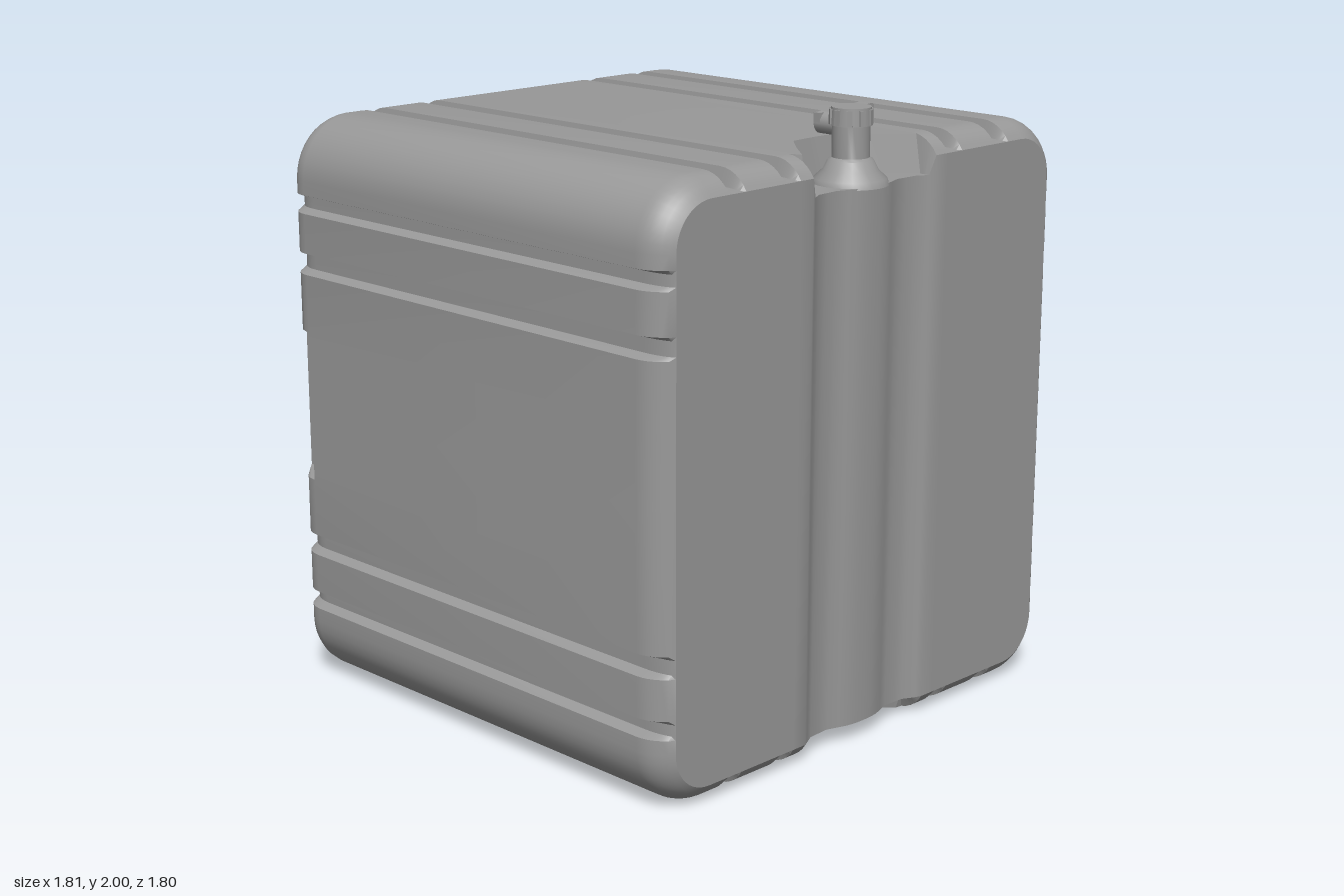
import * as THREE from 'three';
import { toCreasedNormals } from 'three/addons/utils/BufferGeometryUtils.js';

const material = new THREE.MeshStandardMaterial({ color: 0x999999 });
const MID = 0.945, W = 0.905, R = 0.2, BACK = -0.825, FRONT = 0.896;

function add(parent, name, geometry, x = 0, y = 0, z = 0) {
  const mesh = new THREE.Mesh(geometry, material);
  mesh.name = name;
  mesh.position.set(x, y, z);
  parent.add(mesh);
  return mesh;
}

// Piecewise linear lookup
function lerpTable(table, v) {
  for (let i = 1; i < table.length; i++) {
    const [a, fa] = table[i - 1], [b, fb] = table[i];
    if (v <= b) return fa + (fb - fa) * (v - a) / (b - a);
  }
  return table[table.length - 1][1];
}

// Skin over rows of points
function grid(rows, flip) {
  const pos = [], idx = [], n = rows[0].length;
  rows.forEach(row => row.forEach(p => pos.push(...p)));
  for (let r = 0; r < rows.length - 1; r++) {
    for (let c = 0; c < n - 1; c++) {
      const a = r * n + c, b = a + 1, d = a + n, e = d + 1;
      if (flip) idx.push(a, d, b, b, d, e);
      else idx.push(a, b, d, b, e, d);
    }
  }
  const g = new THREE.BufferGeometry();
  g.setAttribute('position', new THREE.Float32BufferAttribute(pos, 3));
  g.setIndex(idx);
  return toCreasedNormals(g, 0.55);
}

// Quarter of the tank outline, from mid side to mid top, relative to the centre
function quarterOutline() {
  const pts = [];
  const side = (y, g = 0) => pts.push({ kind: 'side', x: W, y, nx: 1, ny: 0, g });
  const top = (x, g = 0) => pts.push({ kind: 'top', x, y: MID, nx: 0, ny: 1, g });
  side(0); side(0.23); side(0.25);
  for (const [a, b] of [[0.44, 0.51], [0.64, 0.7]]) {
    side(a); side(a + 0.012, 0.037); side(b - 0.012, 0.037); side(b);
  }
  for (let i = 0; i <= 10; i++) {
    const t = i / 10 * Math.PI / 2, nx = Math.cos(t), ny = Math.sin(t);
    pts.push({ kind: 'corner', x: W - R + R * nx, y: MID - R + R * ny, nx, ny, g: 0 });
  }
  for (const [a, b] of [[0.635, 0.565], [0.405, 0.335]]) {
    top(a); top(a - 0.013, 0.054); top(b + 0.013, 0.054); top(b);
  }
  for (const x of [0.28, 0.26, 0.22, 0.18, 0.14, 0.1, 0.07, 0.035, 0]) top(x);
  return pts;
}

// Front wall is a shallow vertical channel with a central ridge
const frontZ = x => lerpTable(
  [[0, 0.89], [0.04, 0.889], [0.07, 0.884], [0.14, 0.86], [0.22, 0.864], [0.28, FRONT]], Math.abs(x));

const topArch = x => lerpTable([[0, 0.645], [0.1, 0.65], [0.18, 0.735], [0.26, 0.83]], Math.abs(x));
const bottomArch = x => FRONT - 0.2 * Math.sqrt(1 - (x / 0.29) ** 2);

// Edge rounding: radius, swept angle and total inset; the front one stops short, leaving a crease
const rounding = (r, sweep) => ({ r, sweep, inset: r * (1 - Math.cos(sweep)), length: r * Math.sin(sweep) });
const EDGE = { front: rounding(0.12, Math.PI / 3), back: rounding(0.1, Math.PI / 2) };

function buildTank(group) {
  const quarter = quarterOutline();
  const outline = [...quarter, ...quarter.slice(0, -1).reverse().map(p => ({ ...p, x: -p.x, nx: -p.nx }))];
  const STEPS = 6;

  // One point of the shell; s is +1 for the upper half, -1 for the lower half
  function shellPoint(p, s, end, k) {
    const edge = EDGE[end], a = k / STEPS * edge.sweep, along = edge.r * Math.sin(a) - edge.length;
    let d = edge.r * (1 - Math.cos(a));
    let z = end === 'front' ? FRONT + along : BACK - along;
    // Grooves fade out at the very ends
    d = p.g + d * (1 - p.g / edge.inset);
    // Scooped pockets at the top and bottom of the front wall
    if (end === 'front' && p.kind === 'top' && Math.abs(p.x) < 0.27) {
      const start = s > 0 ? topArch(p.x) : bottomArch(p.x);
      d = k === 0 ? 0 : s > 0 ? 0.12 : 0.058;
      z = k === 0 ? start : THREE.MathUtils.lerp(start + 0.02, frontZ(p.x), (k - 1) / (STEPS - 1));
    }
    // Hand notches cut in the rear side edges
    if (end === 'back' && p.kind === 'side' && p.y < 0.24) {
      if (k > 0 && k < STEPS) d = 0.065;
      z = k <= 1 ? BACK + edge.length : BACK;
    }
    return [p.x - p.nx * d, MID + s * (p.y - p.ny * d), z];
  }

  const rowsFor = s => {
    const rows = [];
    for (let k = STEPS; k >= 0; k--) rows.push(outline.map(p => shellPoint(p, s, 'back', k)));
    for (let k = 0; k <= STEPS; k++) rows.push(outline.map(p => shellPoint(p, s, 'front', k)));
    return rows;
  };
  const upper = rowsFor(1), lower = rowsFor(-1);
  add(group, 'upperShell', grid(upper, false));
  add(group, 'lowerShell', grid(lower, true));
  add(group, 'frontWall', grid([lower[lower.length - 1], upper[upper.length - 1]], true));

  // Rear wall with a horizontal recess and a rounded band inside it
  const profile = [[-0.9, 0], [-0.245, 0], [-0.225, 0.065], [-0.15, 0.065]];
  for (let i = 1; i < 12; i++) {
    const t = i / 12 * Math.PI;
    profile.push([-0.15 * Math.cos(t), 0.065 - 0.05 * Math.sin(t)]);
  }
  profile.push([0.15, 0.065], [0.225, 0.065], [0.245, 0], [0.9, 0]);
  const rear = profile.map(([y, depth]) => outline.map((p, i) => {
    const [x, hi] = upper[0][i], lo = lower[0][i][1];
    return [x, THREE.MathUtils.clamp(y + MID, lo, hi), BACK + (Math.abs(x) < 0.79 ? depth : 0)];
  }));
  add(group, 'rearWall', grid(rear, false));
}

// Raised rear panel with two rounded outer corners and bevelled edges
function panelGeometry() {
  const w = 0.705, h = 0.113, r = 0.07, s = new THREE.Shape();
  s.moveTo(-w, -h);
  s.lineTo(w, -h);
  s.lineTo(w, h - r);
  s.quadraticCurveTo(w, h, w - r, h);
  s.lineTo(r - w, h);
  s.quadraticCurveTo(-w, h, -w, h - r);
  s.closePath();
  return toCreasedNormals(new THREE.ExtrudeGeometry(s, {
    depth: 0.005, bevelEnabled: true, bevelThickness: 0.043, bevelSize: 0.027, bevelSegments: 1, curveSegments: 6,
  }), 0.5);
}

// Screw cap standing along y, with grip ribs
function ribbedCap(name, r, h, ribs) {
  const cap = new THREE.Group();
  cap.name = name;
  add(cap, 'capBody', new THREE.CylinderGeometry(r * 0.9, r * 0.94, h, 32), 0, h / 2);
  for (let i = 0; i < ribs; i++) {
    const a = i / ribs * Math.PI * 2;
    const rib = add(cap, 'gripRib', new THREE.BoxGeometry(r * 0.14, h * 0.85, r * 0.26),
      Math.cos(a) * r * 0.92, h * 0.46, Math.sin(a) * r * 0.92);
    rib.rotation.y = -a;
  }
  return cap;
}

export function createModel() {
  const model = new THREE.Group();
  model.name = 'tank';
  buildTank(model);

  // Rear panels
  for (const s of [1, -1]) {
    const panel = add(model, s > 0 ? 'upperRearPanel' : 'lowerRearPanel', panelGeometry(), 0, MID + s * 0.64, -0.825);
    if (s < 0) panel.rotation.z = Math.PI;
  }

  // Filler lid in the middle of the rear wall
  const lid = new THREE.Group();
  lid.name = 'fillerLid';
  lid.position.set(0, MID + 0.005, -0.75);
  lid.rotation.x = -Math.PI / 2;
  add(lid, 'fillerBoss', new THREE.CylinderGeometry(0.135, 0.19, 0.07, 32), 0, 0.035);
  add(lid, 'fillerCollar', new THREE.CylinderGeometry(0.122, 0.13, 0.035, 32), 0, 0.082);
  const fillerCap = ribbedCap('fillerCap', 0.113, 0.048, 12);
  fillerCap.position.y = 0.096;
  lid.add(fillerCap);
  model.add(lid);

  // Drain valve standing in the front pocket
  const valve = new THREE.Group();
  valve.name = 'drainValve';
  valve.position.set(0, 0, 0.792);
  const flare = [[0.118, 1.765], [0.112, 1.785], [0.085, 1.81], [0.07, 1.84], [0.058, 1.848], [0.058, 1.955]];
  add(valve, 'valveNeck', toCreasedNormals(
    new THREE.LatheGeometry(flare.map(p => new THREE.Vector2(...p)), 24), 0.6));
  const valveCap = ribbedCap('valveCap', 0.068, 0.055, 10);
  valveCap.position.y = 1.945;
  valve.add(valveCap);
  const stem = add(valve, 'leverStem', new THREE.CylinderGeometry(0.035, 0.035, 0.1, 16), 0, 1.94, -0.07);
  stem.rotation.x = Math.PI / 2;
  add(valve, 'leverArm', new THREE.BoxGeometry(0.14, 0.03, 0.025), 0.035, 1.957, -0.108);
  const grip = new THREE.Shape();
  grip.moveTo(0, -0.018);
  grip.lineTo(0.025, -0.026);
  grip.lineTo(0.09, -0.026);
  grip.quadraticCurveTo(0.105, -0.026, 0.105, -0.012);
  grip.lineTo(0.105, 0.012);
  grip.quadraticCurveTo(0.105, 0.024, 0.09, 0.024);
  grip.lineTo(0, 0.018);
  add(valve, 'leverGrip', new THREE.ExtrudeGeometry(grip, { depth: 0.045, bevelEnabled: false }), 0.093, 1.957, -0.125);
  model.add(valve);

  return model;
}
